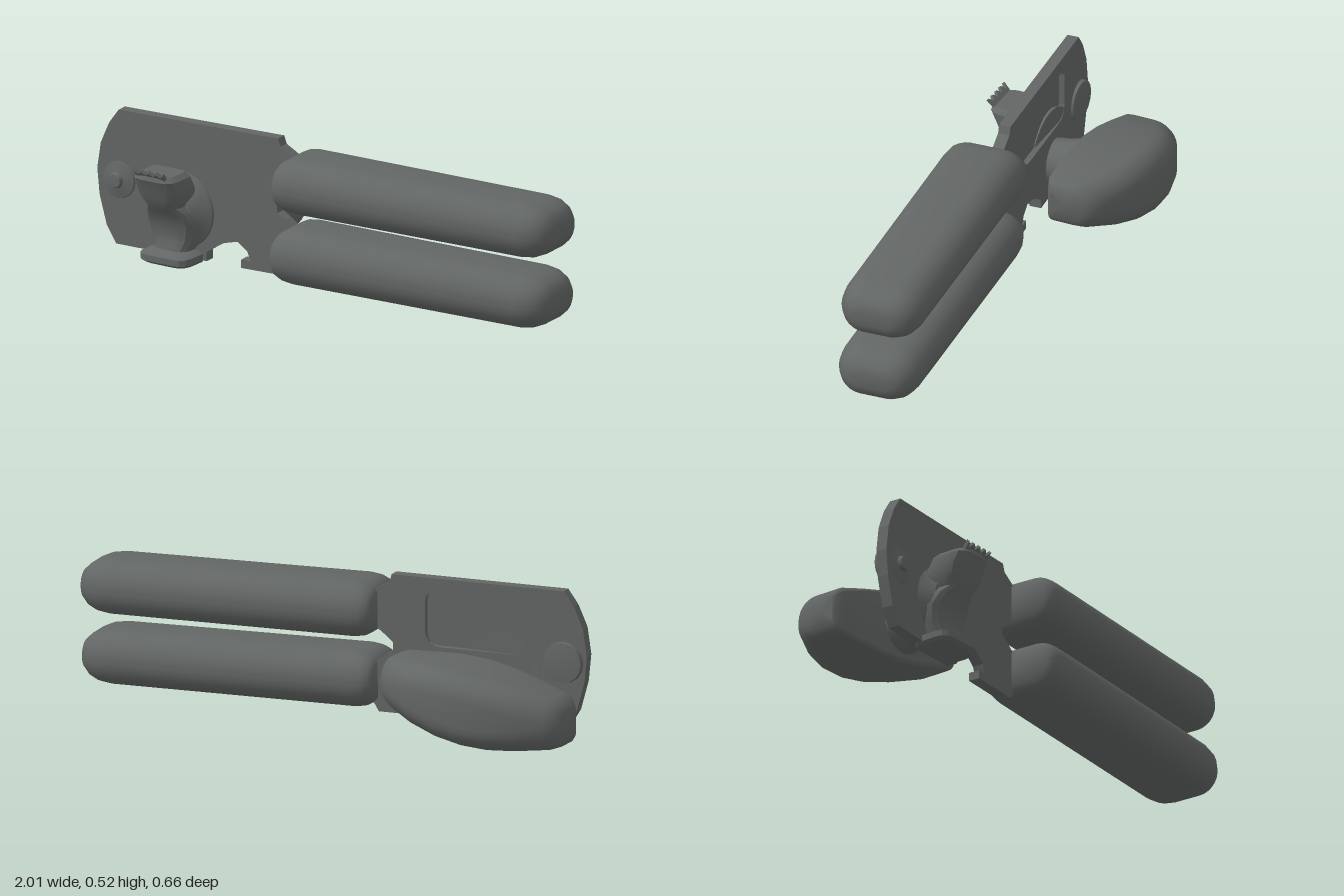
import * as THREE from 'three';
import { toCreasedNormals } from 'three/addons/utils/BufferGeometryUtils.js';

const metal = new THREE.MeshStandardMaterial({ color: 0x626665 });
metal.name = 'dark grey';

// Rounded rectangle in (a, b); r0 rounds the corners at b0, r1 those at b1
function section(a0, a1, b0, b1, r0, r1, n = 6) {
  const pts = [];
  const corners = [[a1 - r1, b1 - r1, r1, 0], [a0 + r1, b1 - r1, r1, 1], [a0 + r0, b0 + r0, r0, 2], [a1 - r0, b0 + r0, r0, 3]];
  for (const [a, b, r, q] of corners) {
    for (let i = 0; i <= n; i++) {
      const t = (q + i / n) * Math.PI / 2;
      pts.push([a + r * Math.cos(t), b + r * Math.sin(t)]);
    }
  }
  return pts;
}

// Closed skin through equal-length rings of [x, y, z]
function loft(rings, crease = 0.7) {
  const n = rings[0].length, pos = rings.flat(), idx = [];
  for (let r = 0; r < rings.length - 1; r++) {
    for (let i = 0; i < n; i++) {
      const a = r * n + i, b = r * n + (i + 1) % n;
      idx.push(a, b, a + n, b, b + n, a + n);
    }
  }
  for (const r of [0, rings.length - 1]) {
    const c = [0, 1, 2].map(k => rings[r].reduce((s, p) => s + p[k], 0) / n);
    const ci = pos.push(c) - 1;
    for (let i = 0; i < n; i++) {
      const a = r * n + i, b = r * n + (i + 1) % n;
      if (r === 0) idx.push(ci, b, a); else idx.push(ci, a, b);
    }
  }
  // Turn the skin outward if its signed volume is negative
  let vol = 0;
  const v = i => new THREE.Vector3(...pos[i]);
  for (let i = 0; i < idx.length; i += 3) vol += v(idx[i]).dot(v(idx[i + 1]).cross(v(idx[i + 2])));
  if (vol < 0) idx.reverse();
  const g = new THREE.BufferGeometry();
  g.setAttribute('position', new THREE.Float32BufferAttribute(pos.flat(), 3));
  g.setIndex(idx);
  return toCreasedNormals(g, crease);
}

function shapeOf(pts) {
  return new THREE.Shape(pts.map(p => new THREE.Vector2(...p)));
}

export function createModel() {
  const model = new THREE.Group();
  const add = (name, geo, parent = model) => {
    const m = new THREE.Mesh(geo, metal);
    m.name = name;
    parent.add(m);
    return m;
  };

  // Two long grips, slanting slightly backwards
  const gripStations = [[0, 0.065, 0.13], [0.015, 0.083, 0.148], [0.04, 0.097, 0.156], [0.08, 0.104, 0.159],
    [1.03, 0.1, 0.157], [1.08, 0.093, 0.148], [1.115, 0.078, 0.128], [1.14, 0.055, 0.1], [1.147, 0.03, 0.07]];
  for (const [name, y, z] of [['upperHandle', 0.388, 0.116], ['lowerHandle', 0.124, 0.127]]) {
    const rings = gripStations.map(([t, h, w]) =>
      section(-h, h, -w, w, h * 0.97, h * 0.97).map(([a, b]) => [t, a, b]));
    const m = add(name, loft(rings));
    m.position.set(-0.143, y, z);
    m.rotation.set(0, 0.07, -0.011, 'YZX');
  }

  // Flat body plate: thin front sheet with a recessed frame behind it
  const plate = new THREE.Group();
  plate.name = 'bodyPlate';
  plate.position.set(-0.6, 0, 0.112);
  plate.rotation.y = 0.07;
  model.add(plate);
  const outline = [[-0.87, 0.525], [-0.91, 0.47], [-0.945, 0.39], [-0.96, 0.29], [-0.95, 0.19], [-0.92, 0.08],
    [-0.88, 0.015], [-0.5, 0.01], [-0.5, 0.045], [-0.43, 0.09], [-0.37, 0.105], [-0.33, 0.075], [-0.315, 0.04],
    [-0.355, 0.04], [-0.355, 0.008], [-0.15, 0.008], [-0.13, 0.04], [-0.13, 0.19], [-0.17, 0.22], [-0.205, 0.24],
    [-0.205, 0.27], [-0.17, 0.3], [-0.13, 0.33], [-0.13, 0.46], [-0.19, 0.495], [-0.2, 0.525]]
    .map(([x, y]) => [x + 0.6, y]);
  const flat = depth => ({ depth, bevelEnabled: false });
  add('frontSheet', new THREE.ExtrudeGeometry(shapeOf(outline), flat(0.022)), plate);
  const frame = shapeOf(outline);
  frame.holes.push(new THREE.Path(section(-0.13, 0.27, 0.27, 0.47, 0.05, 0.03, 4).map(p => new THREE.Vector2(...p))));
  add('backFrame', new THREE.ExtrudeGeometry(frame, flat(0.022)), plate).position.z = -0.022;

  // Turned parts along z, profiles given as [radius, z]
  const turned = (name, x, y, profile, seg = 24) => {
    const g = new THREE.LatheGeometry(profile.map(p => new THREE.Vector2(...p)), seg);
    g.rotateX(Math.PI / 2);
    add(name, toCreasedNormals(g, 0.6)).position.set(x, y, 0);
  };
  turned('driveShaft', -0.63, 0.145, [[0, -0.06], [0.1, -0.06], [0.1, 0.0], [0.088, 0.04], [0.08, 0.1], [0, 0.1]]);
  turned('pressedBoss', -0.62, 0.19, [[0, 0.1], [0.16, 0.1], [0.15, 0.135], [0.12, 0.155], [0.09, 0.19], [0, 0.19]]);
  turned('rivet', -0.87, 0.26, [[0, 0.085], [0.075, 0.095], [0.08, 0.13], [0.07, 0.155], [0.03, 0.165], [0.025, 0.18], [0, 0.183]], 16);

  // Wing knob: domed at the back, rising to the right
  const knobStations = [[-1, 0.06, -0.19, -0.055], [-0.985, 0.08, -0.22, -0.04], [-0.955, 0.094, -0.245, -0.033],
    [-0.84, 0.115, -0.3, -0.026], [-0.74, 0.13, -0.325, -0.022], [-0.64, 0.135, -0.333, -0.02], [-0.54, 0.13, -0.325, -0.022],
    [-0.43, 0.113, -0.3, -0.026], [-0.325, 0.094, -0.245, -0.033], [-0.295, 0.08, -0.22, -0.045], [-0.28, 0.06, -0.19, -0.06]];
  add('turningKnob', loft(knobStations.map(([x, h, back, front]) => {
    const y = 0.145 + 0.14 * (x + 0.64);
    return section(y - h, y + h, back, front, Math.min(0.085, h * 0.95), 0.02).map(([a, b]) => [x, a, b]);
  })));

  // Cutter block with a spread foot, stations are [y, half width, front z]
  const cutterStations = [[0, 0.095, 0.235], [0.012, 0.105, 0.252], [0.035, 0.105, 0.252], [0.05, 0.075, 0.205],
    [0.09, 0.09, 0.195], [0.15, 0.105, 0.205], [0.2, 0.09, 0.235], [0.225, 0.068, 0.262], [0.26, 0.085, 0.28],
    [0.3, 0.092, 0.293], [0.34, 0.088, 0.315], [0.357, 0.07, 0.312]];
  add('cutterBlock', loft(cutterStations.map(([y, w, front]) => {
    const back = 0.1 + Math.max(0, y - 0.2) * 0.5;
    return section(-w, w, back, front, 0.02, 0.045, 3).map(([a, b]) => [a - 0.62, y, b]);
  }), 0.5));

  // Toothed crest leaning forward over the cutter
  const crest = [[-0.06, 0], [0.06, 0]];
  for (let i = 0; i <= 8; i++) crest.push([0.065 - i * 0.01625, i % 2 ? 0.025 : 0.045]);
  const teeth = add('toothedCrest', new THREE.ExtrudeGeometry(shapeOf(crest), flat(0.014)));
  teeth.position.set(-0.62, 0.35, 0.287);
  teeth.rotation.x = 0.75;

  return model;
}
